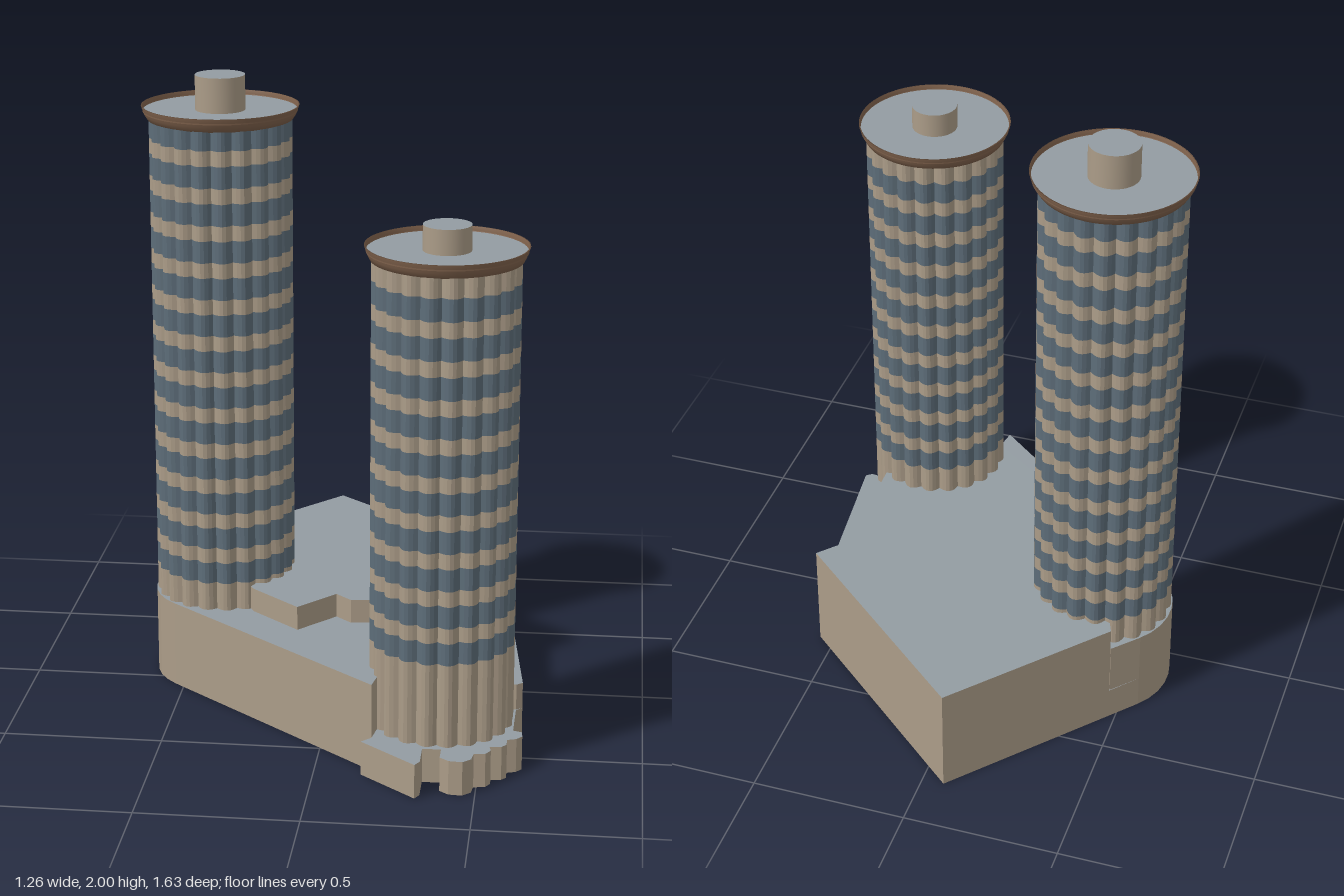
import * as THREE from 'three';

const mat = (color, side = THREE.FrontSide) => new THREE.MeshStandardMaterial({ color, side });
const wall = mat(0xab9c88), glass = mat(0x5d6d79), roof = mat(0x939ca2);
const trim = mat(0x80624c, THREE.DoubleSide);
const shellWall = mat(0xab9c88, THREE.DoubleSide), shellRoof = mat(0x939ca2, THREE.DoubleSide);
const BASE = 0.11;

const toShape = (plan) => new THREE.Shape(plan.map(([x, z]) => new THREE.Vector2(x, z)));

// Upright prism from a plan outline of [x, z] points
function prism(name, plan, y0, y1, side = wall) {
  const geo = new THREE.ExtrudeGeometry(toShape(plan), { depth: y1 - y0, bevelEnabled: false });
  geo.rotateX(Math.PI / 2).translate(0, y1, 0);
  const mesh = new THREE.Mesh(geo, [roof, side]);
  mesh.name = name;
  return mesh;
}

// Thin shell, open underneath: a flat lid on a ring of walls
function openShell(name, plan, height) {
  const g = new THREE.Group();
  g.name = name;
  const lid = new THREE.Mesh(new THREE.ShapeGeometry(toShape(plan)).rotateX(Math.PI / 2), shellRoof);
  lid.position.y = height;
  lid.name = 'baseRoof';
  const pos = [];
  plan.forEach(([x, z], i) => {
    const [u, w] = plan[(i + 1) % plan.length];
    pos.push(x, 0, z, x, height, z, u, height, w, x, 0, z, u, height, w, u, 0, w);
  });
  const geo = new THREE.BufferGeometry();
  geo.setAttribute('position', new THREE.Float32BufferAttribute(pos, 3));
  geo.computeVertexNormals();
  const walls = new THREE.Mesh(geo, shellWall);
  walls.name = 'baseWalls';
  g.add(lid, walls);
  return g;
}

// Plan of a round tower edged with convex bays
function bayPlan(radius, bays = 20, steps = 6) {
  const pts = [];
  for (let i = 0; i < bays * steps; i++) {
    const a = (i / (bays * steps)) * Math.PI * 2;
    const r = radius - 0.02 * (1 - Math.abs(Math.sin((a * bays) / 2)));
    pts.push([r * Math.cos(a), r * Math.sin(a)]);
  }
  return pts;
}

function tower(name, [x, z], radius, bands, top, rimRadius, rimTop, stubRadius, stubTop) {
  const g = new THREE.Group();
  g.name = name;
  g.position.set(x, 0, z);
  const plan = bayPlan(radius);
  // Alternating window bands and balcony bands
  const first = 0.377, pitch = 0.1186, height = 0.07;
  let y = BASE;
  for (let i = 0; i < bands; i++) {
    const start = first + i * pitch, end = Math.min(start + height, top);
    g.add(prism('wallBand', plan, y, start), prism('windowBand', plan, start, end, glass));
    y = end;
  }
  if (top - y > 0.005) g.add(prism('topWall', plan, y, top));
  // Flared roof rim with a recessed roof disc
  const profile = [[radius - 0.022, top - 0.008], [radius + 0.004, top], [rimRadius - 0.009, top + 0.016],
    [rimRadius, rimTop], [rimRadius - 0.004, rimTop], [rimRadius - 0.005, rimTop - 0.018]];
  const rim = new THREE.Mesh(
    new THREE.LatheGeometry(profile.map(([r, h]) => new THREE.Vector2(r, h)), 64), trim);
  rim.name = 'roofRim';
  const disc = new THREE.Mesh(new THREE.CircleGeometry(rimRadius - 0.005, 64).rotateX(-Math.PI / 2), roof);
  disc.position.y = rimTop - 0.016;
  disc.name = 'roofDisc';
  // Lift house
  const h = stubTop - rimTop + 0.03;
  const stub = new THREE.Mesh(new THREE.CylinderGeometry(stubRadius, stubRadius, h, 32), [wall, roof, roof]);
  stub.position.y = stubTop - h / 2;
  stub.name = 'liftHouse';
  g.add(rim, disc, stub);
  return g;
}

export function createModel() {
  const model = new THREE.Group();
  model.name = 'twinTowerComplex';
  const A = [-0.383, -0.12], B = [0.376, 0.465];

  model.add(
    tower('tallTower', A, 0.226, 13, 1.863, 0.249, 1.905, 0.079, 2),
    tower('shortTower', B, 0.224, 10, 1.578, 0.245, 1.62, 0.073, 1.682)
  );

  // Podium corner rounded around the tall tower
  const corner = [];
  for (let i = 0; i <= 8; i++) {
    const a = THREE.MathUtils.lerp(2.26, 3.87, i / 8);
    corner.push([A[0] + 0.231 * Math.cos(a), A[1] + 0.231 * Math.sin(a)]);
  }

  // Base storey over the whole footprint, with a scalloped entrance front
  const scallops = [[0.63, 0.55], [0.632, 0.58], [0.615, 0.6], [0.587, 0.61], [0.587, 0.645], [0.573, 0.66],
    [0.537, 0.665], [0.542, 0.69], [0.527, 0.715], [0.492, 0.72], [0.487, 0.757], [0.462, 0.78],
    [0.42, 0.777], [0.392, 0.755], [0.392, 0.7]];
  model.add(openShell('baseStorey', [...corner, [-0.07, -0.82], [0.553, -0.28], [0.507, -0.23], [0.56, -0.18],
    [0.623, 0.37], [0.604, 0.39], [0.602, 0.54], ...scallops, [0.335, 0.7], [0.335, 0.79], [0.321, 0.815],
    [0.145, 0.67], [0.175, 0.64]], BASE));

  // Upper podium
  model.add(prism('upperPodium', [[-0.07, -0.82], [0.553, -0.28], [0.397, -0.105], [0.412, 0.025],
    [0.312, 0.132], [0.062, 0.16], [0.01, 0.113], [-0.102, 0.237], [-0.262, 0.097], A, [-0.48, -0.36]],
  BASE, 0.363));

  // Middle podium
  model.add(prism('middlePodium', [...corner, [-0.48, -0.355], [0, -0.3], [0.49, -0.215], [0.507, -0.23],
    [0.517, 0.31], B, [0.187, 0.57], [0.175, 0.64]], BASE, 0.285));

  // Lower terrace along the right side
  model.add(prism('lowerTerrace', [[0.507, -0.228], [0.56, -0.18], [0.623, 0.37], [0.604, 0.385],
    [0.56, 0.38], B, [0.48, 0.2]], BASE, 0.195));

  return model;
}
